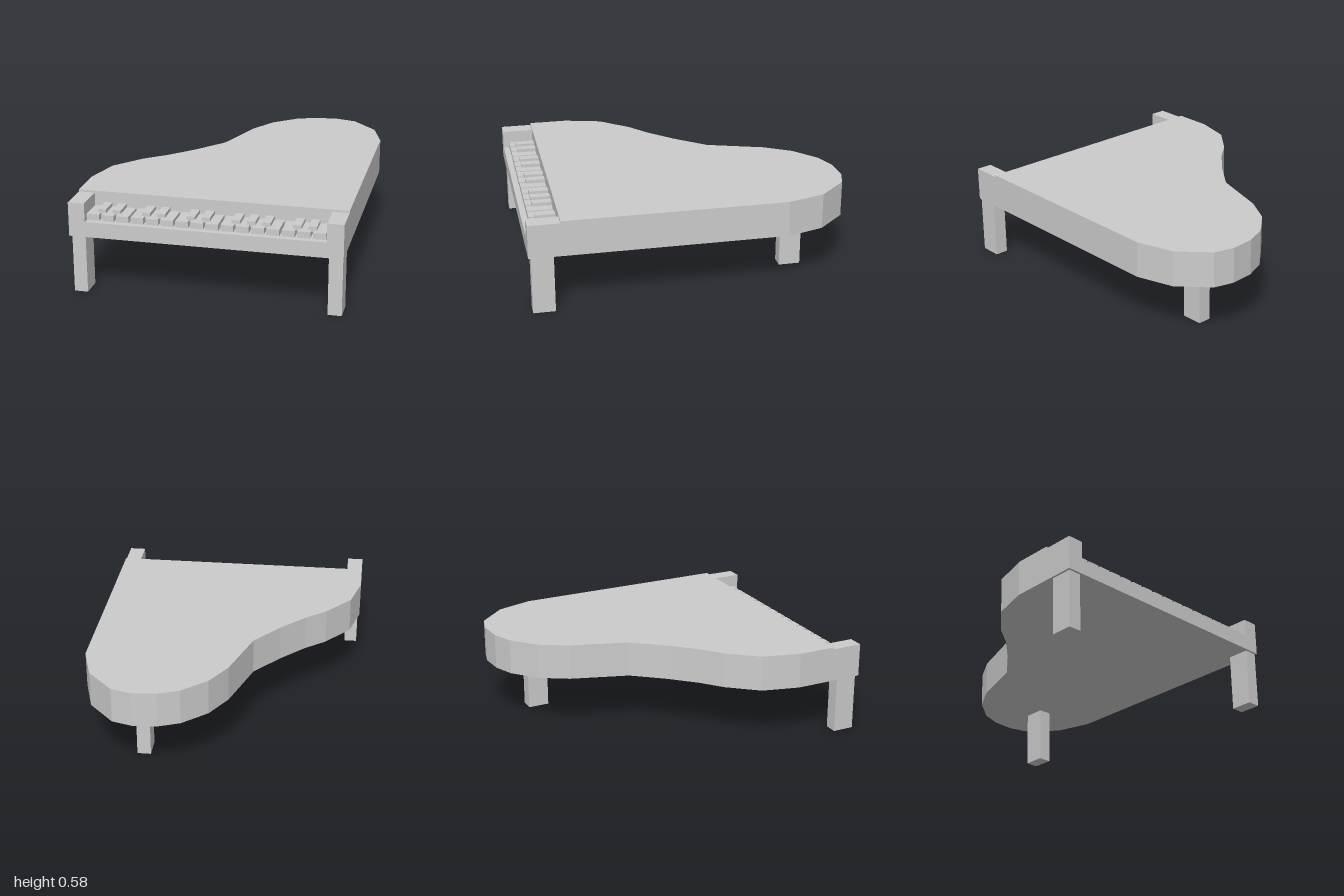
import * as THREE from 'three';

const material = new THREE.MeshStandardMaterial({ color: 0xcccccc, flatShading: true });

// Box given by its extents along each axis
function box(name, [x0, x1], [y0, y1], [z0, z1]) {
  const mesh = new THREE.Mesh(new THREE.BoxGeometry(x1 - x0, y1 - y0, z1 - z0), material);
  mesh.position.set((x0 + x1) / 2, (y0 + y1) / 2, (z0 + z1) / 2);
  mesh.name = name;
  return mesh;
}

export function createModel() {
  const piano = new THREE.Group();
  piano.name = 'grandPiano';
  const bottom = 0.36, bedTop = 0.455, bodyFront = 0.805;

  // Curved case, outlined in plan as [x, z] and extruded upward
  const outline = [
    [0.82, bodyFront], [0.82, -0.565], [0.75, -0.795], [0.59, -0.965], [0.465, -1],
    [0.315, -0.99], [0.185, -0.94], [0.035, -0.81], [-0.065, -0.64], [-0.18, -0.29],
    [-0.33, -0.105], [-0.48, 0.05], [-0.61, 0.155], [-0.76, 0.335], [-0.82, 0.565],
    [-0.82, bodyFront],
  ];
  const shape = new THREE.Shape(outline.map(([x, z]) => new THREE.Vector2(x, -z)));
  const caseGeometry = new THREE.ExtrudeGeometry(shape, { depth: 0.583 - bottom, bevelEnabled: false });
  caseGeometry.rotateX(-Math.PI / 2);
  const body = new THREE.Mesh(caseGeometry, material);
  body.position.y = bottom;
  body.name = 'case';
  piano.add(body);

  // Key bed between two raised cheek blocks
  piano.add(box('keyBed', [-0.72, 0.72], [bottom, bedTop], [bodyFront, 1]));
  piano.add(box('rightCheek', [-0.82, -0.72], [bottom, 0.57], [bodyFront, 1]));
  piano.add(box('leftCheek', [0.72, 0.82], [bottom, 0.57], [bodyFront, 1]));

  // Keyboard: 16 naturals, with sharps over the joints in groups of two and three
  const keyboard = new THREE.Group();
  keyboard.name = 'keyboard';
  const pitch = 0.0902, firstKey = -0.681, keyTop = 0.493;
  for (let i = 0; i < 16; i++) {
    const x = firstKey + i * pitch;
    keyboard.add(box('naturalKey', [x - 0.038, x + 0.038], [bedTop, keyTop], [bodyFront, 0.963]));
  }
  for (const joint of [1, 2, 4, 5, 7, 8, 10, 11, 12, 14, 15]) {
    const x = firstKey + (joint - 0.5) * pitch;
    keyboard.add(box('sharpKey', [x - 0.025, x + 0.025], [keyTop - 0.01, 0.515], [bodyFront, 0.925]));
  }
  piano.add(keyboard);

  // Three square-cut legs
  piano.add(box('frontRightLeg', [-0.806, -0.723], [0, bottom], [0.85, 0.985]));
  piano.add(box('frontLeftLeg', [0.733, 0.816], [0, bottom], [0.85, 0.985]));
  piano.add(box('backLeg', [0.404, 0.488], [0, bottom], [-0.745, -0.61]));

  return piano;
}
